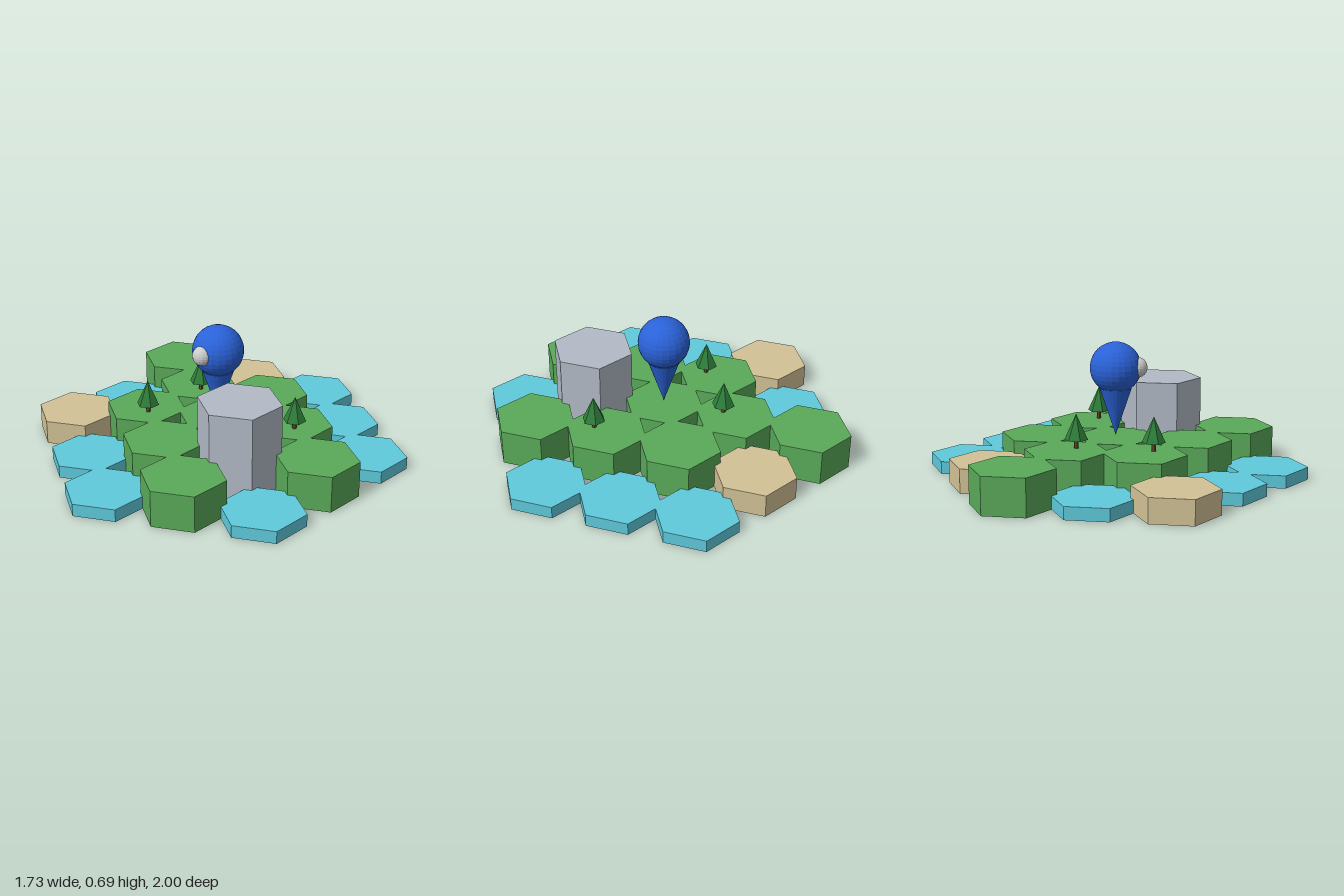
import * as THREE from 'three';

const mat = (color) => new THREE.MeshStandardMaterial({ color, flatShading: true });

// Tile kinds: height and material
const KINDS = {
  water: { height: 0.066, material: mat(0x5fcadb) },
  sand: { height: 0.127, material: mat(0xd2c296) },
  grass: { height: 0.193, material: mat(0x5aaa5a) },
  rock: { height: 0.45, material: mat(0xb2bac6) },
};
const TILE_RADIUS = 0.216;
const STEP_Z = 0.392;
const STEP_X = STEP_Z * Math.sqrt(3) / 2;

// Columns from -x to +x, each listed from back to front
const COLUMNS = [
  ['grass', 'water', 'sand'],
  ['sand', 'grass', 'grass', 'water'],
  ['water', 'grass', 'grass', 'grass', 'water'],
  ['water', 'grass', 'rock', 'grass'],
  ['water', 'grass', 'water'],
];

function addMesh(parent, name, geometry, material, x, y, z) {
  const mesh = new THREE.Mesh(geometry, material);
  mesh.name = name;
  mesh.position.set(x, y, z);
  parent.add(mesh);
  return mesh;
}

function createTiles() {
  const tiles = new THREE.Group();
  tiles.name = 'tiles';
  COLUMNS.forEach((column, i) => column.forEach((kind, j) => {
    const { height, material } = KINDS[kind];
    const geometry = new THREE.CylinderGeometry(TILE_RADIUS, TILE_RADIUS, height, 6);
    const z = (j - (column.length - 1) / 2) * STEP_Z;
    addMesh(tiles, kind + 'Tile', geometry, material, (i - 2) * STEP_X, height / 2, z);
  }));
  return tiles;
}

function createTree(x, z, leaf, bark) {
  const tree = new THREE.Group();
  tree.name = 'tree';
  tree.position.set(x, KINDS.grass.height, z);
  addMesh(tree, 'trunk', new THREE.CylinderGeometry(0.012, 0.012, 0.05, 6), bark, 0, 0.025, 0);
  addMesh(tree, 'foliage', new THREE.ConeGeometry(0.06, 0.132, 6), leaf, 0, 0.111, 0);
  return tree;
}

// Map pin: ball head, downward point and a small round stud in front
function createPin() {
  const pin = new THREE.Group();
  pin.name = 'pin';
  const blue = mat(0x2a62d8);
  addMesh(pin, 'pinHead', new THREE.SphereGeometry(0.134, 24, 16), blue, 0, 0.557, 0);
  const point = addMesh(pin, 'pinPoint', new THREE.ConeGeometry(0.084, 0.25, 24), blue, 0, 0.325, 0);
  point.rotation.x = Math.PI;
  addMesh(pin, 'pinStud', new THREE.SphereGeometry(0.053, 16, 12), mat(0xcccccc), 0, 0.561, 0.113);
  return pin;
}

export function createModel() {
  const model = new THREE.Group();
  model.name = 'hexMap';
  model.add(createTiles(), createPin());

  // Trees stand slightly off the centre of their tiles
  const leaf = mat(0x2e7d3a);
  const bark = mat(0x6b4a2b);
  for (const [x, z] of [[-1, -0.5], [-1, 0.5], [1, -0.5]]) {
    model.add(createTree(x * STEP_X + 0.056, z * STEP_Z + 0.04, leaf, bark));
  }
  return model;
}
